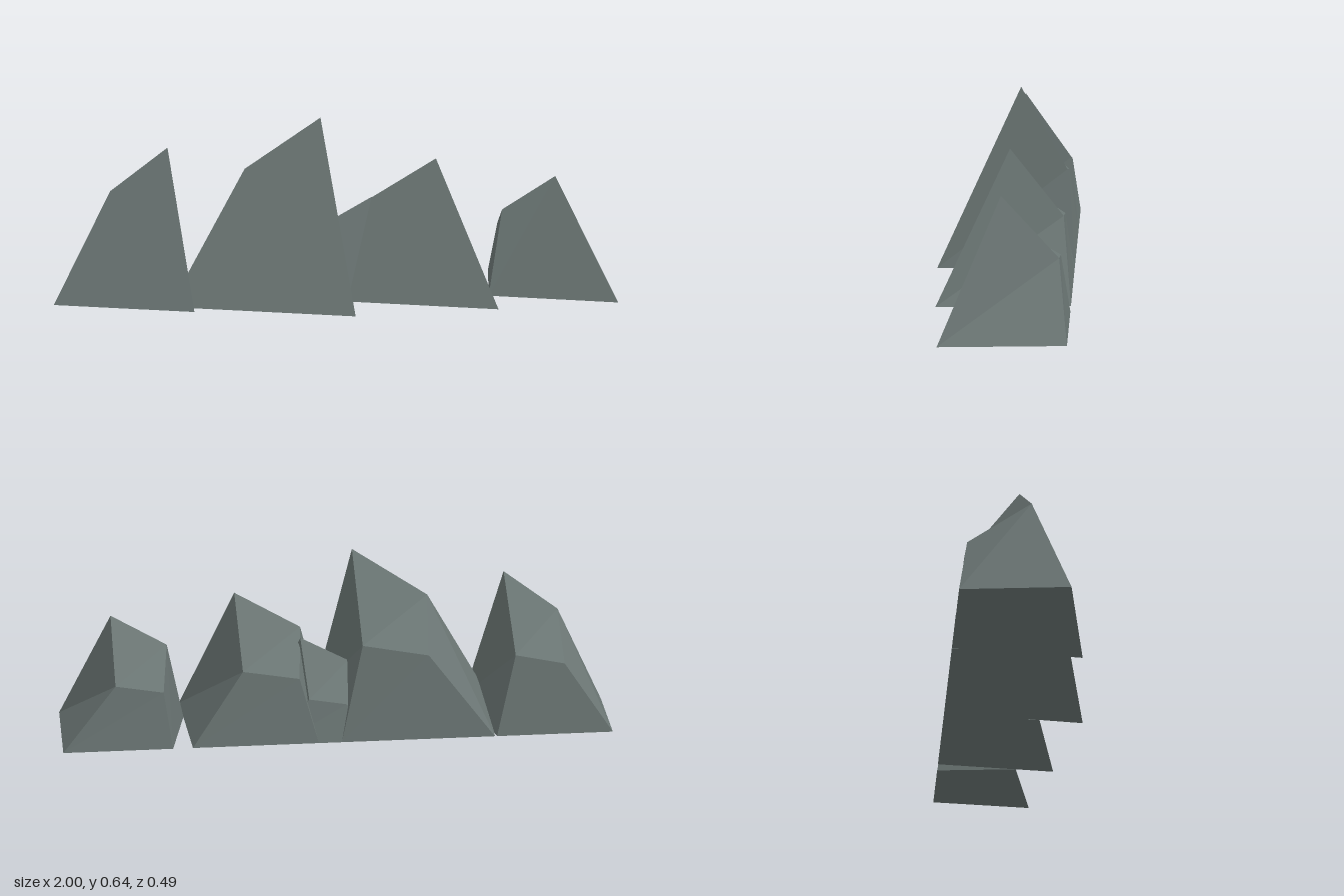
import * as THREE from 'three';

// Each rock is a box whose eight corners are moved.
// base / top: [x left, x right] of the front edge; zBase / zTop: z of its left and right ends;
// inset: how far the rear top corners draw in; height: y of the front right peak
const ROCKS = [
  { name: 'leftRock', base: [-1.0, -0.5], zBase: [0.08, 0.175], top: [-0.795, -0.59], zTop: [-0.015, -0.035], inset: 0.015, height: 0.54 },
  { name: 'tallRock', base: [-0.59, 0.06], zBase: [0.12, 0.245], top: [-0.32, -0.05], zTop: [-0.03, -0.048], inset: 0.02, height: 0.64 },
  { name: 'smallRock', base: [-0.14, 0.26], zBase: [0.02, 0.09], top: [-0.035, 0.135], zTop: [-0.075, -0.09], inset: 0.02, height: 0.335, rear: 0.45 },
  { name: 'middleRock', base: [0.04, 0.565], zBase: [0.09, 0.195], top: [0.13, 0.36], zTop: [-0.02, -0.035], inset: 0.018, height: 0.49 },
  { name: 'rightRock', base: [0.55, 1.0], zBase: [0.05, 0.143], top: [0.6, 0.79], zTop: [-0.02, -0.035], inset: 0.014, height: 0.42 },
];
const BACK_BASE = -0.245;
const BACK_TOP = -0.214;

function makeRock(rock, material) {
  const geometry = new THREE.BoxGeometry(1, 1, 1);
  const p = geometry.attributes.position;
  const width = rock.base[1] - rock.base[0];
  const rear = rock.rear ?? 0.532;
  for (let i = 0; i < p.count; i++) {
    const side = p.getX(i) > 0 ? 1 : 0;
    const inward = side ? -1 : 1;
    const front = p.getZ(i) > 0;
    if (p.getY(i) < 0) {
      // footprint, narrower at the back
      const x = rock.base[side] + (front ? 0 : inward * width * 0.085);
      p.setXYZ(i, x, 0, front ? rock.zBase[side] : BACK_BASE);
    } else {
      // sloping crown, highest at the front right
      const x = rock.top[side] + (front ? 0 : inward * rock.inset);
      const k = front ? [0.72, 1][side] : [rear - 0.067, rear][side];
      p.setXYZ(i, x, rock.height * k, front ? rock.zTop[side] : BACK_TOP);
    }
  }
  const flat = geometry.toNonIndexed();
  flat.computeVertexNormals();
  const mesh = new THREE.Mesh(flat, material);
  mesh.name = rock.name;
  return mesh;
}

export function createModel() {
  const group = new THREE.Group();
  group.name = 'rockRow';
  const stone = new THREE.MeshStandardMaterial({ color: 0x6a7573, flatShading: true });
  stone.name = 'grey stone';
  for (const rock of ROCKS) group.add(makeRock(rock, stone));
  return group;
}
